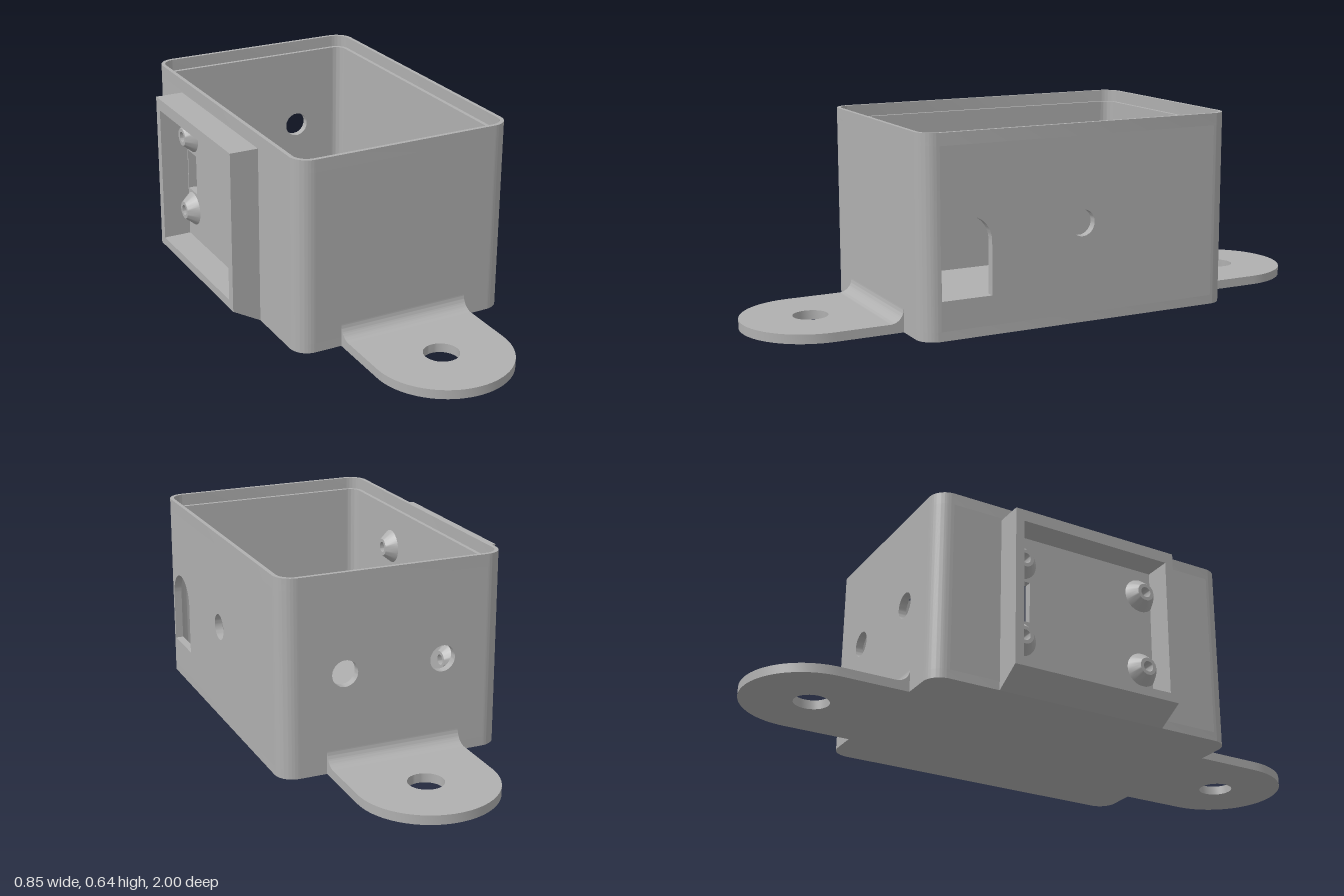
import * as THREE from 'three';
import { toCreasedNormals } from 'three/addons/utils/BufferGeometryUtils.js';

const CX = 0.045, HX = 0.375, HZ = 0.55;      // box centre and half sizes
const R = 0.06, WALL = 0.026, FLOOR = 0.03;   // corner radius, thicknesses
const STEP = 0.6, TOP = 0.64;                 // lip starts, box top

export function createModel() {
  const grey = new THREE.MeshStandardMaterial({ color: 0xb0b0b0 });
  grey.name = 'plainGrey';
  const model = new THREE.Group();
  model.name = 'mountingBox';

  const add = (name, geo, x = 0, y = 0, z = 0, parent = model) => {
    const mesh = new THREE.Mesh(toCreasedNormals(geo, 0.5), grey);
    mesh.name = name;
    mesh.position.set(x, y, z);
    parent.add(mesh);
    return mesh;
  };
  const extrude = (shape, depth) =>
    new THREE.ExtrudeGeometry(shape, { depth, bevelEnabled: false, curveSegments: 20 });
  // Shape drawn in plan, raised along y
  const raise = (shape, height) => extrude(shape, height).rotateX(-Math.PI / 2);
  // Shape drawn in (-z, y), extruded along x
  const across = (shape, depth) => extrude(shape, depth).rotateY(Math.PI / 2);

  const polygon = (pts) => new THREE.Shape(pts.map(([x, y]) => new THREE.Vector2(x, y)));
  const rect = (x0, y0, x1, y1) => polygon([[x0, y0], [x1, y0], [x1, y1], [x0, y1]]);
  const circle = (x, y, r) => new THREE.Path().absarc(x, y, r, 0, Math.PI * 2, true);
  const outline = (inset) => {
    const x = HX - R, z = HZ - R, r = R - inset;
    return new THREE.Shape()
      .absarc(x, z, r, 0, Math.PI / 2)
      .absarc(-x, z, r, Math.PI / 2, Math.PI)
      .absarc(-x, -z, r, Math.PI, Math.PI * 1.5)
      .absarc(x, -z, r, Math.PI * 1.5, Math.PI * 2);
  };

  // Floor and thin stepped lip
  add('floor', raise(outline(0), FLOOR), CX);
  const lip = outline(0);
  lip.holes.push(new THREE.Path(outline(0.013).getPoints(20)));
  add('rimLip', raise(lip, TOP - STEP), CX, STEP);

  // Rounded corner columns
  for (let i = 0; i < 4; i++) {
    const a = i * Math.PI / 2;
    const x = (i === 0 || i === 3 ? 1 : -1) * (HX - R);
    const v = (i < 2 ? 1 : -1) * (HZ - R);
    const corner = new THREE.Shape()
      .absarc(x, v, R, a, a + Math.PI / 2)
      .absarc(x, v, R - WALL, a + Math.PI / 2, a, true);
    add('cornerWall', raise(corner, STEP - FLOOR), CX, FLOOR);
  }

  // End walls; the back one has two cable holes
  const endShape = () => rect(-HX + R, FLOOR, HX - R, STEP);
  add('frontWall', extrude(endShape(), WALL), CX, 0, HZ - WALL);
  const back = endShape();
  for (const s of [-1, 1]) back.holes.push(circle(s * 0.165, 0.32, 0.043));
  add('backWall', extrude(back, WALL), CX, 0, -HZ);

  // Left wall with arched opening and a round hole
  const sideShape = () => rect(-HZ + R, FLOOR, HZ - R, STEP);
  const left = sideShape();
  left.holes.push(circle(0, 0.322, 0.043));
  const arch = new THREE.Path();
  arch.moveTo(-0.488, 0.125);
  arch.lineTo(-0.318, 0.125);
  arch.absarc(-0.403, 0.296, 0.085, 0, Math.PI, false);
  arch.closePath();
  left.holes.push(arch);
  add('leftWall', across(left, WALL), CX + HX - WALL);

  // Right wall with a cable slot and four conical grommets
  const right = sideShape();
  right.holes.push(new THREE.Path(rect(0.215, 0.255, 0.285, 0.395).getPoints()));
  const tip = WALL / 2 + 0.035, base = WALL / 2;
  const profile = [[0.018, -tip], [0.03, -tip], [0.058, -base], [0.058, base],
    [0.03, tip], [0.018, tip], [0.018, -tip]].map(([r, y]) => new THREE.Vector2(r, y));
  for (const z of [-0.25, 0.21]) {
    for (const y of [0.19, 0.46]) {
      right.holes.push(circle(-z, y, 0.03));
      add('grommet', new THREE.LatheGeometry(profile, 28).rotateZ(Math.PI / 2),
        CX - HX + WALL / 2, y, z);
    }
  }
  add('rightWall', across(right, WALL), CX - HX);

  // Raised frame on the right wall, slanted underneath
  const x0 = -0.425, x1 = CX - HX, zBack = -0.32, zFront = 0.28, T = 0.03;
  const side = polygon([[x0, 0.053], [x1, 0], [x1, 0.593], [x0, 0.593]]);
  for (const z of [zBack, zFront - T]) add('frameSide', extrude(side, T), 0, 0, z);
  const span = zFront - zBack - 2 * T;
  add('frameTop', extrude(rect(x0, 0.553, x1, 0.593), span), 0, 0, zBack + T);
  const sill = polygon([[x0, 0.053], [x1, 0], [x1, 0.082], [x0, 0.082]]);
  add('frameBottom', extrude(sill, span), 0, 0, zBack + T);

  // Small hollow posts on the floor
  const post = [[0.018, 0], [0.018, 0.05], [0.03, 0.05], [0.03, 0]]
    .reverse().map(([r, y]) => new THREE.Vector2(r, y));
  for (const x of [-0.055, 0.288]) {
    add('floorPost', new THREE.LatheGeometry(post, 24), x, FLOOR, 0.483);
  }

  // Mounting tabs with a fillet against each end wall
  const W = 0.225, F = 0.045;
  const tabShape = new THREE.Shape();
  tabShape.moveTo(-W, HZ);
  tabShape.lineTo(W, HZ);
  tabShape.absarc(0, 0.775, W, 0, Math.PI, false);
  tabShape.closePath();
  tabShape.holes.push(circle(0, 0.775, 0.057));
  const fillet = new THREE.Shape();
  fillet.moveTo(HZ, FLOOR);
  fillet.lineTo(HZ + F, FLOOR);
  fillet.absarc(HZ + F, FLOOR + F, F, -Math.PI / 2, -Math.PI, true);
  fillet.closePath();
  for (const [name, turn] of [['backTab', 0], ['frontTab', Math.PI]]) {
    const tab = new THREE.Group();
    tab.name = name;
    tab.position.x = CX;
    tab.rotation.y = turn;
    add('tabPlate', raise(tabShape, FLOOR), 0, 0, 0, tab);
    add('tabFillet', across(fillet, 2 * W), -W, 0, 0, tab);
    model.add(tab);
  }
  return model;
}
